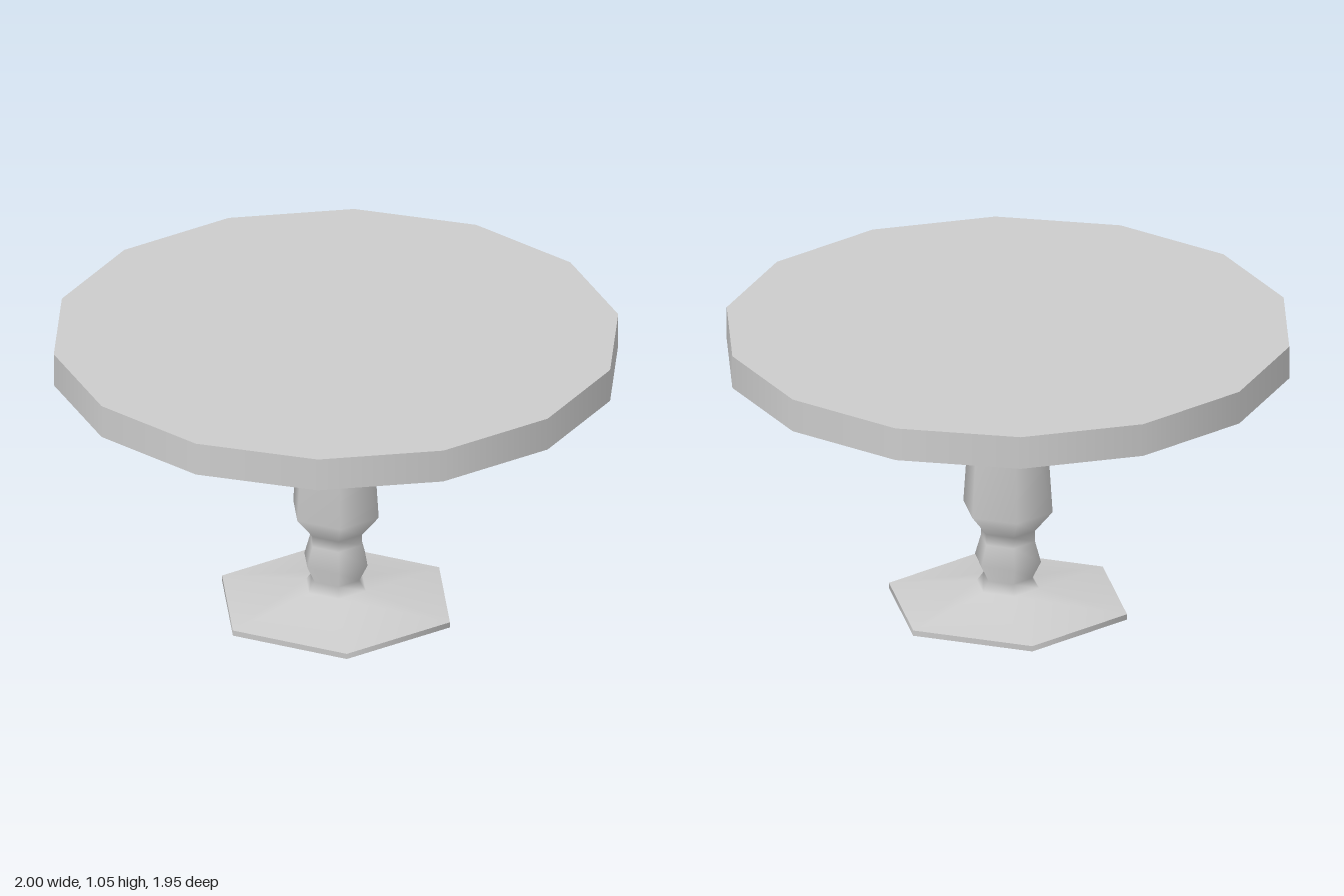
import * as THREE from 'three';

const material = new THREE.MeshStandardMaterial({ color: 0xcccccc });
const START = Math.PI / 2; // puts a corner of every polygon on the x axis

function add(group, name, geometry) {
  const mesh = new THREE.Mesh(geometry, material);
  mesh.name = name;
  group.add(mesh);
  return mesh;
}

// Six-sided turned section from [radius, height] pairs, bottom to top
function turned(profile) {
  const points = profile.map(([r, y]) => new THREE.Vector2(r, y));
  return new THREE.LatheGeometry(points, 6, START);
}

export function createModel() {
  const group = new THREE.Group();
  group.name = 'pedestalTable';

  // Fourteen-sided table top
  const top = add(group, 'tableTop', new THREE.CylinderGeometry(1, 1, 0.12, 14, 1, false, START));
  top.position.y = 0.99;

  // Pedestal: sloping foot, neck, bulge, collar and tapering column
  add(group, 'pedestal', turned([
    [0.44, 0.02], [0.115, 0.075], [0.09, 0.11], [0.122, 0.175],
    [0.1, 0.25], [0.1, 0.29], [0.165, 0.37], [0.127, 0.93],
  ]));

  // Thin hexagonal rim and underside of the foot
  add(group, 'footRim', turned([[0.44, 0], [0.44, 0.02]]));
  const underside = add(group, 'footUnderside', new THREE.CircleGeometry(0.44, 6));
  underside.rotation.x = Math.PI / 2;

  return group;
}
